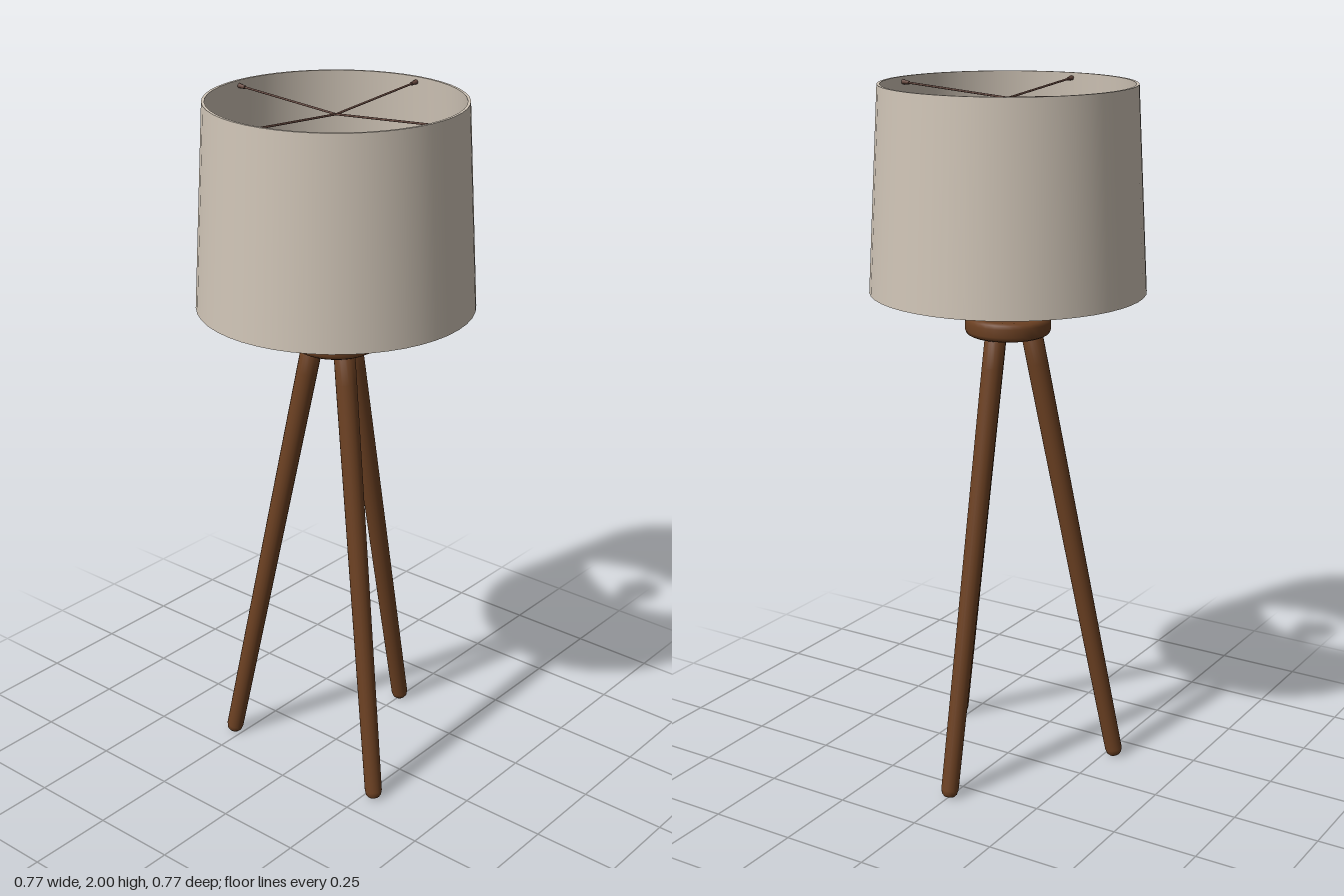
import * as THREE from 'three';

const material = (name, color, side = THREE.FrontSide) => {
  const m = new THREE.MeshStandardMaterial({ color, side });
  m.name = name;
  return m;
};

export function createModel() {
  const wood = material('brown wood', 0x6b4022);
  const fabric = material('beige fabric', 0xcfc4b6);
  const wire = material('dark wire', 0x66483e);
  const glass = material('pale bulb', 0xddd6cc);

  const model = new THREE.Group();
  model.name = 'tripodFloorLamp';

  const add = (name, geometry, mat) => {
    const mesh = new THREE.Mesh(geometry, mat);
    mesh.name = name;
    model.add(mesh);
    return mesh;
  };
  const lathe = (points, sides) =>
    new THREE.LatheGeometry(points.map(([r, y]) => new THREE.Vector2(r, y)), sides);
  const up = new THREE.Vector3(0, 1, 0);
  // Place a part built along +y so that it starts at a and points towards b
  const aim = (mesh, a, b) => {
    mesh.position.copy(a);
    mesh.quaternion.setFromUnitVectors(up, b.clone().sub(a).normalize());
  };
  const polar = (r, y, angle) =>
    new THREE.Vector3(r * Math.cos(angle), y, r * Math.sin(angle));

  // Three splayed legs with softened feet
  for (let i = 0; i < 3; i++) {
    const angle = (i * Math.PI * 2) / 3;
    const foot = polar(0.322, 0.003, angle);
    const top = polar(0.064, 1.32, angle);
    const length = foot.distanceTo(top);
    const leg = add('leg' + (i + 1), lathe([
      [0, 0], [0.016, 0], [0.022, 0.007], [0.025, 0.02],
      [0.03, length - 0.1], [0.03, length], [0, length],
    ], 20), wood);
    aim(leg, foot, top);
  }

  // Round hub with softened rims
  add('hub', lathe([
    [0, 1.305], [0.108, 1.305], [0.117, 1.31], [0.121, 1.32],
    [0.121, 1.343], [0.117, 1.353], [0.108, 1.358], [0, 1.358],
  ], 28), wood);

  // Stem and bulb socket
  add('stem', new THREE.CylinderGeometry(0.028, 0.028, 0.17, 20).translate(0, 1.435, 0), wood);
  add('socket', new THREE.CylinderGeometry(0.04, 0.04, 0.09, 20).translate(0, 1.555, 0), wood);

  // Bulb: narrow neck opening into a globe
  const bulbProfile = [[0.026, 1.6], [0.03, 1.625], [0.043, 1.65]];
  for (let i = 0; i <= 10; i++) {
    const a = -0.7 + (i / 10) * (Math.PI / 2 + 0.7);
    bulbProfile.push([Math.max(0, 0.066 * Math.cos(a)), 1.71 + 0.066 * Math.sin(a)]);
  }
  add('bulb', lathe(bulbProfile, 28), glass);

  // Thin tapered shade, open at both ends: outer wall, rims and inner wall
  add('shadeOuterWall', lathe([[0.387, 1.43], [0.355, 2]], 48), fabric);
  add('shadeTopRim', lathe([[0.355, 2], [0.347, 2]], 48), fabric);
  add('shadeInnerWall', lathe([[0.347, 2], [0.379, 1.43]], 48), fabric);
  add('shadeBottomRim', lathe([[0.379, 1.43], [0.387, 1.43]], 48), fabric);

  // Four spokes near each opening, with small clips where they meet the shade
  const spokes = (name, hubY, rimY, rimRadius) => {
    for (let i = 0; i < 4; i++) {
      const angle = (i * Math.PI) / 2;
      const centre = new THREE.Vector3(0, hubY, 0);
      const rim = polar(rimRadius, rimY, angle);
      const length = centre.distanceTo(rim);
      const rod = new THREE.CylinderGeometry(0.003, 0.003, length, 8).translate(0, length / 2, 0);
      aim(add(name + 'Spoke' + (i + 1), rod, wire), centre, rim);
      const clip = new THREE.CylinderGeometry(0.007, 0.005, 0.022, 8).translate(0, length - 0.011, 0);
      aim(add(name + 'Clip' + (i + 1), clip, wire), centre, rim);
    }
  };
  spokes('upper', 1.96, 1.985, 0.347);
  spokes('lower', 1.49, 1.445, 0.378);

  return model;
}
